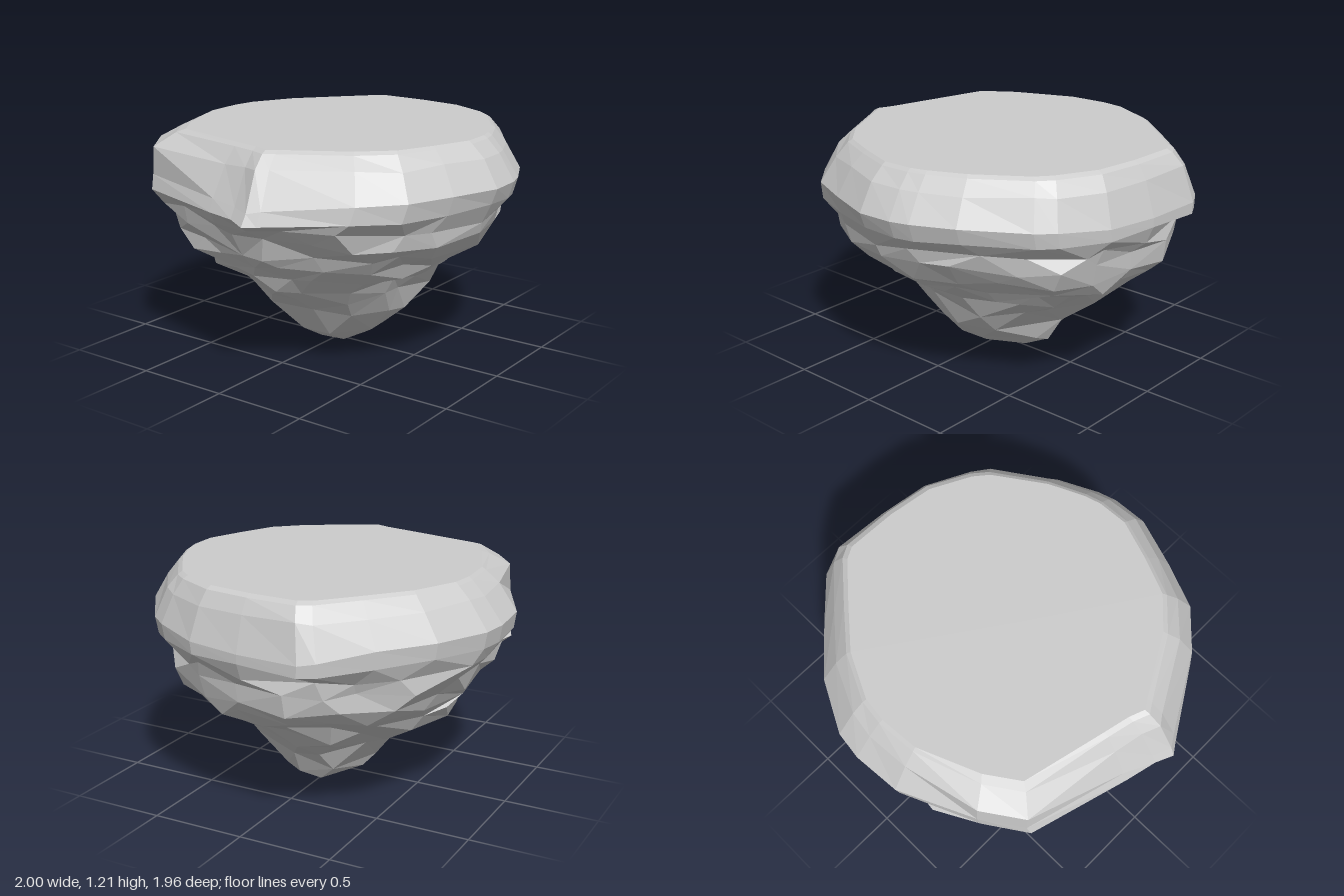
import * as THREE from 'three';

// Plan outline of the widest level (x, z), going round from the back
const OUTLINE = [
  [0.1, -0.98], [0.25, -0.96], [0.52, -0.82], [0.75, -0.61], [0.96, -0.41], [1, -0.33], [0.99, 0],
  [0.95, 0.29], [0.83, 0.54], [0.76, 0.63], [0.47, 0.84], [0.26, 0.94], [0.16, 0.97], [-0.03, 0.98],
  [-0.3, 0.89], [-0.55, 0.79], [-0.73, 0.61], [-0.96, 0.23], [-1, 0.17], [-0.96, 0.07], [-0.92, -0.1],
  [-0.77, -0.64], [-0.56, -0.78], [-0.16, -0.96],
];

// Share of the way round at which each outline corner lies
const SHARES = [0];
OUTLINE.forEach(([x, z], i) => {
  const [x2, z2] = OUTLINE[(i + 1) % OUTLINE.length];
  SHARES.push(SHARES[i] + Math.hypot(x2 - x, z2 - z));
});
const LENGTH = SHARES[OUTLINE.length];
SHARES.forEach((s, i) => { SHARES[i] = s / LENGTH; });

// Levels: y, extents -x +x -z +z, number of corners (0 = outline corners),
// roughness, vertical roughness, drop at the far left and right, push of the back right corner
const RIM = [
  [1.205, 0.78, 0.87, 0.79, 0.81, 0, 0, 0, 0, 1.02],
  [1.19, 0.81, 0.9, 0.81, 0.83, 0, 0, 0, 0, 1.05],
  [1.12, 0.88, 0.95, 0.88, 0.9, 0, 0.01, 0.01, 0, 1.1],
  [0.985, 0.97, 1, 0.98, 0.98, 0, 0, 0, 0.05, 1],
];
const CLIFF = [
  RIM[3],
  [0.895, 1, 1, 0.965, 0.95, 0, 0, 0.01, 0.015, 1],
  [0.82, 0.89, 0.96, 0.94, 0.92, 22, 0.06, 0.025, 0, 1.06],
  [0.74, 0.83, 0.96, 0.88, 0.88, 24, 0.05, 0.025, 0, 1.06],
  [0.66, 0.78, 0.96, 0.82, 0.79, 21, 0.06, 0.03, 0, 1.06],
  [0.58, 0.73, 0.88, 0.76, 0.68, 20, 0.06, 0.03, 0, 1.06],
  [0.51, 0.67, 0.81, 0.72, 0.61, 20, 0.06, 0.025, 0, 1.05],
  [0.44, 0.6, 0.72, 0.67, 0.54, 18, 0.08, 0.03, 0, 1.05],
  [0.36, 0.48, 0.58, 0.54, 0.49, 14, 0.07, 0.03, 0, 1],
  [0.25, 0.39, 0.46, 0.36, 0.43, 11, 0.06, 0.03, 0, 1],
  [0.12, 0.27, 0.38, 0.25, 0.27, 9, 0.04, 0.02, 0, 1],
  [0.05, 0.17, 0.29, 0.2, 0.16, 7, 0.03, 0.015, 0, 1],
];
const TIP = [-0.03, 0, 0.06];

// Small seeded generator
function seeded(seed) {
  return () => {
    seed = (seed * 16807) % 2147483647;
    return seed / 2147483647;
  };
}

// Point on the outline at share t of the way round
function outlineAt(t) {
  t -= Math.floor(t);
  const i = SHARES.findLastIndex((s) => s <= t) % OUTLINE.length;
  const a = OUTLINE[i], b = OUTLINE[(i + 1) % OUTLINE.length];
  const k = (t - SHARES[i]) / (SHARES[i + 1] - SHARES[i]);
  return [a[0] + (b[0] - a[0]) * k, a[1] + (b[1] - a[1]) * k];
}

// One level as a list of { t, p }: share of the way round and position
function makeRing([y, left, right, back, front, count, rough, lift, drop, push], random) {
  const n = count || OUTLINE.length;
  const ring = [];
  for (let i = 0; i < n; i++) {
    const t = count ? (i + (random() - 0.5) * 0.7) / n : SHARES[i];
    const [u, v] = outlineAt(t);
    // Lower levels are rounder than the rim
    const rounding = count ? 0.4 + 0.6 / Math.hypot(u, v) : 1;
    const corner = u + v < -1.32 ? push : 1;
    const s = rounding * corner * (1 + 2 * rough * (0.2 - random()) / (left + right));
    ring.push({ t, p: [
      u * s * (u > 0 ? right : left),
      y - drop * u ** 6 + (random() - 0.5) * 2 * lift,
      v / 0.98 * s * (v > 0 ? front : back),
    ] });
  }
  return ring;
}

// Joins two closed rings that may have different corner counts
function stitch(out, upper, lower) {
  const n = upper.length, m = lower.length;
  const at = (ring, k) => ring[k % ring.length].t + (k >= ring.length ? 1 : 0);
  let i = 0, j = 0;
  while (i < n || j < m) {
    const a = upper[i % n].p, b = lower[j % m].p;
    if (j >= m || (i < n && at(upper, i + 1) <= at(lower, j + 1))) {
      i++;
      out.push(a, upper[i % n].p, b);
    } else {
      j++;
      out.push(a, lower[j % m].p, b);
    }
  }
}

function fan(out, centre, ring, up) {
  ring.forEach(({ p }, i) => {
    const q = ring[(i + 1) % ring.length].p;
    out.push(centre, up ? q : p, up ? p : q);
  });
}

function makeMesh(name, corners) {
  const geometry = new THREE.BufferGeometry();
  geometry.setAttribute('position', new THREE.Float32BufferAttribute(corners.flat(), 3));
  geometry.computeVertexNormals();
  const material = new THREE.MeshStandardMaterial({ color: 0xcccccc, flatShading: true });
  const mesh = new THREE.Mesh(geometry, material);
  mesh.name = name;
  return mesh;
}

export function createModel() {
  const group = new THREE.Group();
  group.name = 'floatingRock';
  const random = seeded(4711);
  const rim = RIM.map((level) => makeRing(level, random));
  const cliff = CLIFF.map((level, i) => (i === 0 ? rim[3] : makeRing(level, random)));

  // Flat top
  const top = [];
  fan(top, [0, RIM[0][0], 0], rim[0], true);
  group.add(makeMesh('plateau', top));

  // Bevelled band around the top
  const band = [];
  for (let i = 0; i < rim.length - 1; i++) stitch(band, rim[i], rim[i + 1]);
  group.add(makeMesh('rim', band));

  // Rough underside narrowing to a point
  const rock = [];
  for (let i = 0; i < cliff.length - 1; i++) stitch(rock, cliff[i], cliff[i + 1]);
  fan(rock, TIP, cliff[cliff.length - 1], false);
  group.add(makeMesh('rockUnderside', rock));

  return group;
}
